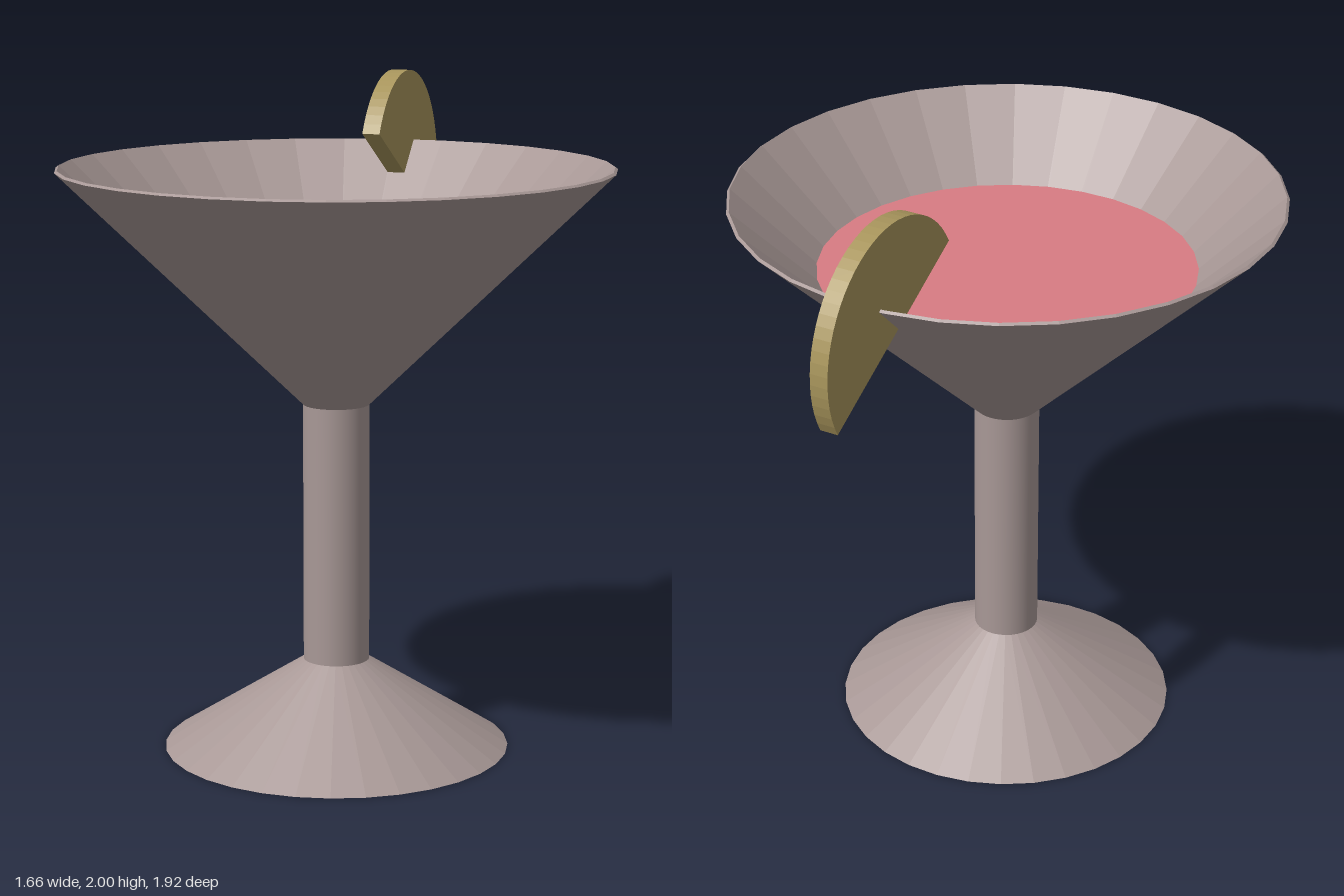
import * as THREE from 'three';

const SIDES = 32;

const paint = (name, color) => {
  const m = new THREE.MeshStandardMaterial({ color });
  m.name = name;
  return m;
};

// Faceted normals for the low-poly turned parts
function faceted(geometry) {
  const g = geometry.toNonIndexed();
  g.computeVertexNormals();
  return g;
}

// Turned part from [radius, height] pairs, listed upward on the outside
const turned = (points) =>
  faceted(new THREE.LatheGeometry(points.map(([r, y]) => new THREE.Vector2(r, y)), SIDES));

export function createModel() {
  const glass = paint('smoky glass', 0xa89896);
  const drink = paint('pink drink', 0xd87c83);
  const citrus = paint('citrus yellow', 0xa8955c);
  const black = paint('black underside', 0x050505);

  const model = new THREE.Group();
  model.name = 'cocktailGlass';
  const cup = new THREE.Group();
  cup.name = 'glass';
  cup.position.z = 0.13;
  model.add(cup);

  const add = (parent, name, geometry, material) => {
    const mesh = new THREE.Mesh(geometry, material);
    mesh.name = name;
    parent.add(mesh);
    return mesh;
  };

  // Foot, stem and thin-walled bowl
  add(cup, 'foot', turned([[0.525, 0], [0.1, 0.27]]), glass);
  add(cup, 'stem', new THREE.CylinderGeometry(0.1, 0.1, 0.8, SIDES, 1, true).translate(0, 0.665, 0), glass);
  add(cup, 'bowl', turned([[0.1, 1.06], [0.83, 1.768], [0.822, 1.774], [0.09, 1.075], [0, 1.075]]), glass);

  // Underside of the foot
  add(cup, 'footUnderside', new THREE.CircleGeometry(0.525, SIDES).rotateX(Math.PI / 2), black);

  // Surface of the drink
  const surface = add(cup, 'drinkSurface', new THREE.CircleGeometry(0.572, SIDES).rotateX(-Math.PI / 2), drink);
  surface.position.y = 1.535;

  // Half-round citrus slice resting across the rear rim
  const half = new THREE.Shape();
  half.absarc(0, 0, 0.342, 0, Math.PI, false);
  half.closePath();
  const depth = 0.056;
  const sliceGeometry = new THREE.ExtrudeGeometry(half, { depth, bevelEnabled: false, curveSegments: 16 });
  sliceGeometry.translate(0, 0, -depth / 2);
  const slice = add(model, 'citrusSlice', sliceGeometry, citrus);
  slice.position.set(0.032, 1.66, -0.62);
  slice.rotation.set(0, Math.PI / 2 - 0.09, -0.503);

  return model;
}
